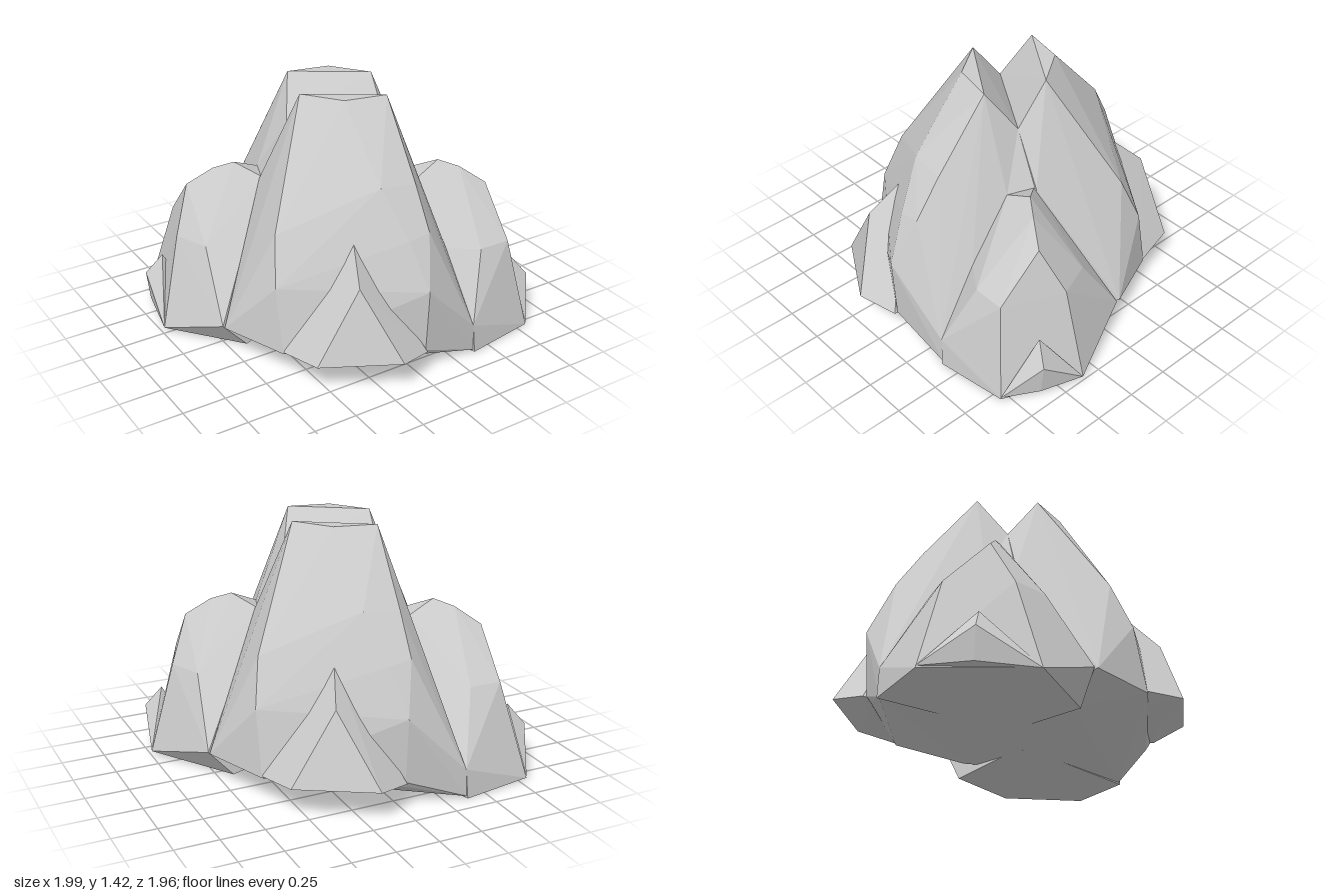
import * as THREE from 'three';
import { ConvexGeometry } from 'three/addons/geometries/ConvexGeometry.js';

const stone = new THREE.MeshStandardMaterial({ color: 0xcccccc, flatShading: true });

// One faceted chunk of rock, wrapped around its corner points
function chunk(name, corners) {
  const geometry = new ConvexGeometry(corners.map((c) => new THREE.Vector3(...c)));
  const mesh = new THREE.Mesh(geometry, stone);
  mesh.name = name;
  return mesh;
}

// Half of the rock cluster; toeZ, footZ and tipZ place its outer corners
function rockHalf(name, toeZ, footZ, tipZ) {
  const half = new THREE.Group();
  half.name = name;
  const seamZ = footZ + 0.05;

  // Tall slab with a split peak
  half.add(chunk('peakSlab', [
    [-0.25, 1.42, 0.05], [-0.1, 1.42, 0.26], [0.14, 1.42, 0.31],
    [0.24, 1.18, 0.16], [-0.23, 1.18, -0.13], [0.34, 0.88, 0.33], [-0.4, 0.88, -0.15],
    [-0.09, 1.04, 0.6], [0.12, 1.02, 0.62],
    [-0.58, 0.78, 0.33], [-0.02, 0.78, 0.77], [0.11, 0.8, 0.77],
    [-0.65, 0.52, 0.2], [-0.64, 0.52, 0.43], [0.03, 0.52, 0.9], [0.36, 0.55, 0.6],
    [-0.8, 0.17, 0.13], [-0.64, 0.15, 0.5], [0.03, 0.15, 0.88], [0.38, 0.17, seamZ],
    [0.39, 0.01, seamZ], [0.05, 0.11, 0.86], [0.04, 0.05, 0.6], [-0.52, 0.05, 0.12],
    [-0.45, 0.08, 0.35], [0.35, 0.04, 0.2], [-0.4, 0.03, -0.25],
  ]));

  // Lower shoulder boulder, sharing the seam line with the slab
  half.add(chunk('shoulderBoulder', [
    [0.5, 0.95, 0.31], [0.6, 0.91, 0.38], [0.39, 0.88, 0.18], [0.34, 0.88, 0.33],
    [0.73, 0.81, 0.46], [0.36, 0.55, 0.6],
    [0.52, 0.55, 0.71], [0.71, 0.55, 0.71], [0.85, 0.55, 0.37], [0.77, 0.55, 0.17],
    [0.38, 0.17, seamZ], [0.81, 0.17, -0.08],
    [0.39, 0, seamZ + 0.01], [0.81, 0.01, footZ], [1, 0.03, toeZ], [0.66, 0, -0.07],
    [0.1, 0.04, 0.1],
  ]));

  // Pointed spur leaning on the slab
  half.add(chunk('leaningSpur', [
    [-0.25, 0.78, 0.58], [-0.33, 0.59, 0.77],
    [-0.64, 0.16, 0.5], [-0.58, 0.18, 0.75], [-0.18, 0.19, tipZ], [0.03, 0.15, 0.9],
    [-0.4, 0.09, 0.35], [0.03, 0.09, 0.6], [-0.2, 0.14, 0.8],
  ]));

  // Small chip at the foot of the boulder
  half.add(chunk('footChip', [
    [0.86, 0.34, 0.57], [0.95, 0.22, 0.62], [0.81, 0.02, footZ],
    [1, 0.03, toeZ], [0.93, 0.04, 0.62], [0.7, 0.03, 0.5],
  ]));
  return half;
}

export function createModel() {
  const rock = new THREE.Group();
  rock.name = 'rockCluster';

  const back = rockHalf('backHalf', 0.29, 0.87, 1.01);
  back.rotation.y = Math.PI;
  back.position.set(0.01, 0, 0.03);
  rock.add(rockHalf('frontHalf', 0.37, 0.8, 0.98), back);

  // Core that closes the cleft between the halves
  rock.add(chunk('cleftCore', [
    [0.24, 1.18, 0.16], [-0.23, 1.18, -0.13],
    [0.4, 0.88, 0.18], [0.34, 0.88, 0.33], [-0.39, 0.88, -0.15], [-0.33, 0.88, -0.3],
    [0.6, 0.1, 0.05], [0.3, 0.1, 0.4], [-0.59, 0.1, -0.02], [-0.29, 0.1, -0.37],
  ]));
  return rock;
}
